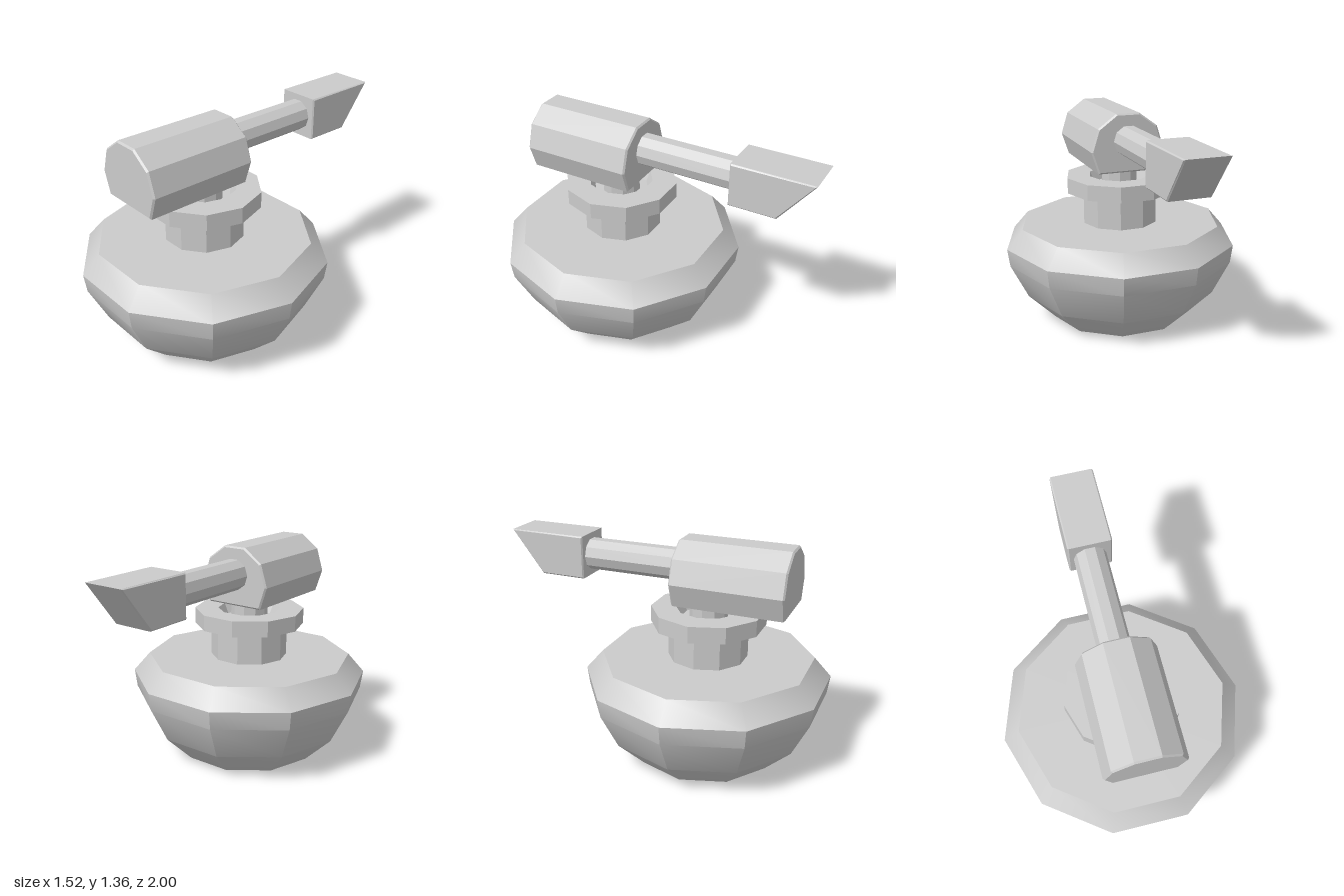
import * as THREE from 'three';
import { toCreasedNormals } from 'three/addons/utils/BufferGeometryUtils.js';

const SIDES = 10;
const AXIS_Z = 0.275; // the bottle stands forward of the origin
const smooth = new THREE.MeshStandardMaterial({ color: 0xcccccc });
const flat = new THREE.MeshStandardMaterial({ color: 0xcccccc, flatShading: true });

function part(name, geometry, material = flat) {
  const mesh = new THREE.Mesh(geometry, material);
  mesh.name = name;
  return mesh;
}

// Ten-sided turned part with a corner on the x axis; profile of [radius, y] from bottom to top
function turned(profile) {
  const points = profile.map(([r, y]) => new THREE.Vector2(r, y));
  return new THREE.LatheGeometry(points, SIDES, Math.PI / 2).translate(0, 0, AXIS_Z);
}

// Extrusion with small bevelled edges that stays inside the given outline and length
function bevelled(points, length, bevel) {
  const shape = new THREE.Shape(points.map(([x, y]) => new THREE.Vector2(x, y)));
  return new THREE.ExtrudeGeometry(shape, {
    depth: length - 2 * bevel, bevelEnabled: true, bevelSegments: 1,
    bevelSize: bevel, bevelThickness: bevel, bevelOffset: -bevel,
  }).translate(0, 0, bevel);
}

export function createModel() {
  const group = new THREE.Group();

  // Squat bottle with a hollow underside
  const bottle = turned([
    [0, 0.06], [0.3, 0.25], [0.46, 0], [0.635, 0.175], [0.745, 0.4],
    [0.76, 0.515], [0.655, 0.635], [0, 0.635],
  ]);
  group.add(part('bottle', toCreasedNormals(bottle, 0.6), smooth));

  // Neck, and a collar with a sunken centre
  group.add(part('neck', turned([[0.245, 0.63], [0.245, 0.85]])));
  group.add(part('collar', turned([
    [0, 0.845], [0.35, 0.845], [0.35, 0.945], [0.2, 0.945], [0.17, 0.88], [0, 0.88],
  ])));
  group.add(part('stem', turned([[0.117, 0.87], [0.117, 1.01]])));

  // Pump head: ten-sided barrel with its lowest edge cut flat
  const half = [[0.193, 0.993], [0.24, 1.135], [0.195, 1.277], [0.075, 1.364]];
  const outline = [...half, ...half.map(([x, y]) => [-x, y]).reverse()];
  group.add(part('pumpHead', bevelled(outline, 0.685, 0.01).translate(0, 0, 0.105)));

  // Spout pipe running backwards
  const pipe = new THREE.CylinderGeometry(0.098, 0.098, 0.64, SIDES, 1, false, Math.PI / 2);
  pipe.rotateX(Math.PI / 2).translate(-0.003, 1.193, -0.2);
  group.add(part('spoutPipe', pipe));

  // Nozzle with a slanted end, drawn in side profile as [z, y]
  const side = [[-0.505, 1.06], [-0.505, 1.325], [-1, 1.325], [-0.795, 1.06]];
  const nozzle = bevelled(side, 0.264, 0.008);
  nozzle.translate(0, 0, -0.132).rotateY(-Math.PI / 2);
  group.add(part('nozzle', nozzle));

  return group;
}
